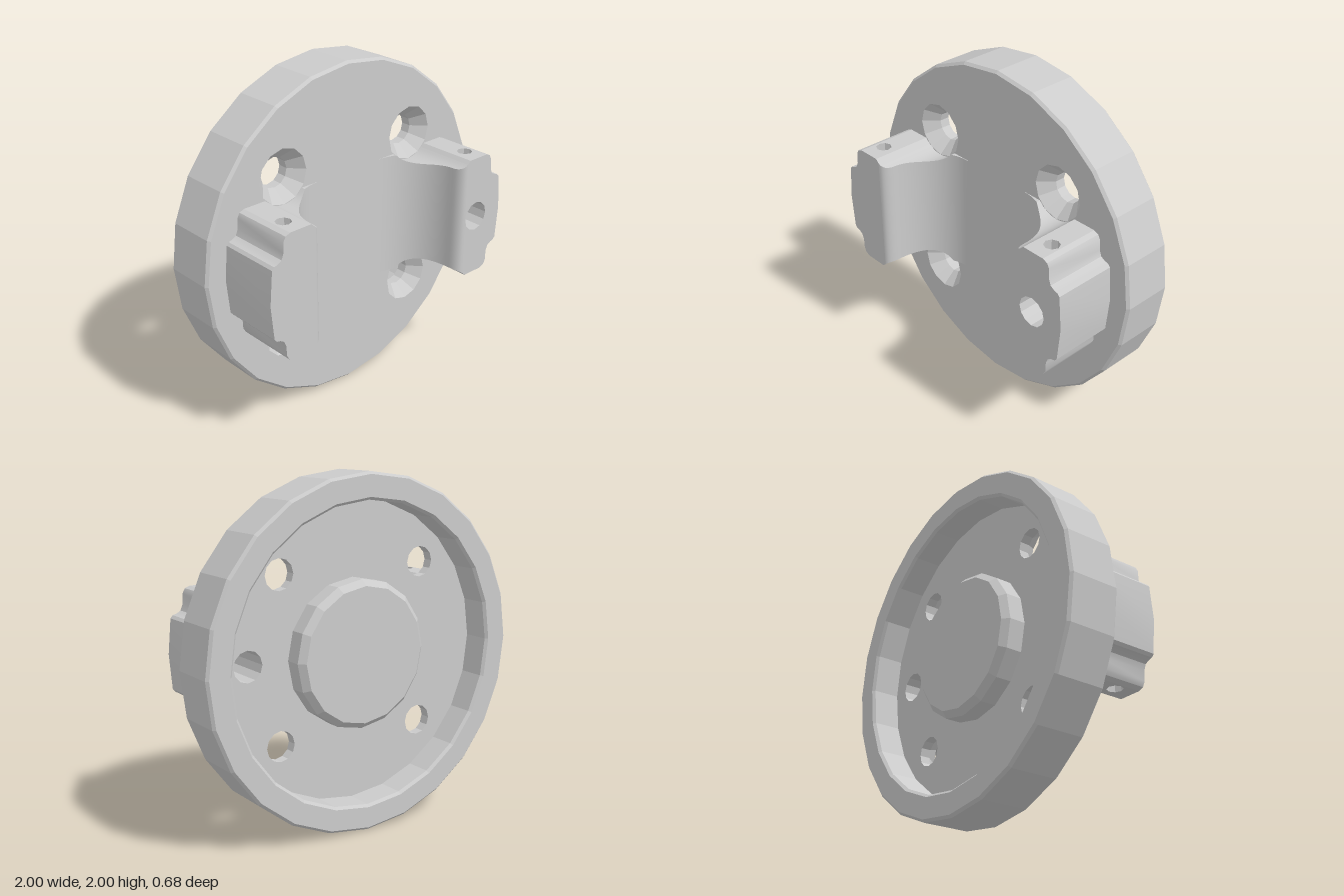
import * as THREE from 'three';
import { toCreasedNormals } from 'three/addons/utils/BufferGeometryUtils.js';

const FRONT = -0.03, FLOOR = -0.17, BACK = -0.34, TOP = 0.34; // z levels
const SCREW = 0.47, SINK_R = 0.16, HOLE_R = 0.088, HOLE_X = 0.667;
const PIN = { x: 0.68, z: 0.22, r: 0.045 };
const LUG_H = 0.37, SPLIT = 0.577;

const material = new THREE.MeshStandardMaterial({ color: 0xcccccc });
const flat = new THREE.MeshStandardMaterial({ color: 0xcccccc, flatShading: true });

function add(parent, name, geometry, mat = flat) {
  const mesh = new THREE.Mesh(geometry, mat);
  mesh.name = name;
  parent.add(mesh);
  return mesh;
}

const vec = ([x, y]) => new THREE.Vector2(x, y);

function ring(cx, cy, r, n) {
  return Array.from({ length: n }, (_, i) => {
    const a = (i / n) * Math.PI * 2;
    return [cx + r * Math.cos(a), cy + r * Math.sin(a)];
  });
}

// Flat face with polygonal holes, facing +z
function face(outline, holes = []) {
  const shape = new THREE.Shape(outline.map(vec));
  shape.holes = holes.map((h) => new THREE.Path(h.map(vec)));
  return new THREE.ShapeGeometry(shape);
}

// Profile of [radius, z] turned around the z axis
const turned = (profile, n) => new THREE.LatheGeometry(profile.map(vec), n).rotateX(Math.PI / 2);

// Smooth-edged surface from a list of four-cornered faces
function quads(list) {
  const pos = [];
  for (const [a, b, c, d] of list) pos.push(...a, ...b, ...c, ...a, ...c, ...d);
  const g = new THREE.BufferGeometry();
  g.setAttribute('position', new THREE.Float32BufferAttribute(pos, 3));
  return toCreasedNormals(g, 0.55);
}

// Half height of the lug at x, scooped out around the screw countersinks
function halfHeight(x) {
  const d = SINK_R ** 2 - (x - SCREW) ** 2;
  return d > 0 ? Math.min(LUG_H, SCREW - Math.sqrt(d)) : LUG_H;
}

function createLug(name, drilled) {
  const lug = new THREE.Group();
  lug.name = name;

  // Inner side: concave fillet rising from the plate, then a rounded top corner
  const cols = [];
  for (let i = 0; i <= 16; i++) {
    const a = (i / 16) * Math.PI / 2;
    cols.push([0.23 + 0.3 * Math.sin(a), 0.272 - 0.3 * Math.cos(a)]);
  }
  for (let i = 1; i <= 6; i++) {
    const a = (i / 6) * Math.PI / 2;
    cols.push([SPLIT - 0.047 * Math.cos(a), 0.272 + (TOP - 0.272) * Math.sin(a)]);
  }
  const fillet = [];
  for (let i = 0; i < cols.length - 1; i++) {
    const [x0, z0] = cols[i], [x1, z1] = cols[i + 1];
    const h0 = halfHeight(x0), h1 = halfHeight(x1);
    fillet.push(
      [[x0, -h0, z0], [x1, -h1, z1], [x1, h1, z1], [x0, h0, z0]],
      [[x0, h0, FRONT], [x0, h0, z0], [x1, h1, z1], [x1, h1, FRONT]],
      [[x1, -h1, FRONT], [x1, -h1, z1], [x0, -h0, z0], [x0, -h0, FRONT]]);
  }
  add(lug, 'lugFillet', quads(fillet), material);

  // Outer block with stepped, rounded corners
  const upper = [[SPLIT, halfHeight(SPLIT)], [0.598, LUG_H], [0.735, LUG_H], [0.765, 0.358],
    [0.78, 0.33], [0.782, 0.27], [0.795, 0.237], [0.82, 0.222], [0.843, 0.216], [0.857, 0.2], [0.875, 0]];
  const outline = [...upper.map(([x, y]) => [x, -y]), ...upper.slice(0, -1).reverse()];
  const walls = [];
  for (let i = 0; i < outline.length - 1; i++) {
    const a = outline[i], b = outline[i + 1];
    if (Math.abs(a[1]) === LUG_H && Math.abs(b[1]) === LUG_H) continue; // drilled panels go here
    walls.push([[...a, FRONT], [...b, FRONT], [...b, TOP], [...a, TOP]]);
  }
  add(lug, 'lugWalls', quads(walls), material);
  const bore = drilled ? [ring(HOLE_X, 0, HOLE_R, 12)] : [];
  add(lug, 'lugFrontFace', face(outline, bore).translate(0, 0, TOP));

  // Upper and lower panels, each with a blind pin hole
  for (const s of [1, -1]) {
    const z = (v) => -s * v;
    const rect = [[0.598, z(FRONT)], [0.735, z(FRONT)], [0.735, z(TOP)], [0.598, z(TOP)]];
    const panel = face(rect, [ring(PIN.x, z(PIN.z), PIN.r, 8)]);
    add(lug, 'lugPanel', panel.rotateX(-s * Math.PI / 2).translate(0, s * LUG_H, 0));
    const pin = new THREE.LatheGeometry([[PIN.r, LUG_H], [PIN.r, 0.22], [0, 0.195]].map(vec), 8);
    if (s < 0) pin.rotateX(Math.PI);
    add(lug, 'pinHole', pin.translate(PIN.x, 0, PIN.z));
  }
  return lug;
}

export function createModel() {
  const model = new THREE.Group();
  model.name = 'roundMountingFlange';
  const body = new THREE.Group();
  body.name = 'flangeBody';
  body.position.y = 1;
  model.add(body);

  // Chamfered rim with the recess wall behind
  add(body, 'rim', turned([[0.85, FLOOR], [0.85, -0.325], [0.865, BACK], [0.985, BACK],
    [1, -0.325], [1, -0.045], [0.985, FRONT]], 24));

  // Front and recess faces of the plate
  const screws = [[1, 1], [-1, 1], [-1, -1], [1, -1]].map(([sx, sy]) => [sx * SCREW, sy * SCREW]);
  const bore = ring(HOLE_X, 0, HOLE_R, 12);
  add(body, 'plateFront', face(ring(0, 0, 0.985, 24),
    [...screws.map(([x, y]) => ring(x, y, SINK_R, 12)), bore]).translate(0, 0, FRONT));
  add(body, 'recessFloor', face(ring(0, 0, 0.85, 24),
    [...screws.map(([x, y]) => ring(x, y, HOLE_R, 12)), ring(-HOLE_X, 0, HOLE_R, 12)])
    .rotateY(Math.PI).translate(0, 0, FLOOR));

  // Chamfered boss in the recess
  add(body, 'backBoss', turned([[0, -0.3], [0.385, -0.3], [0.42, -0.265], [0.42, FLOOR]], 16));

  // Countersunk screw holes and the bore through one lug
  for (const [x, y] of screws) {
    add(body, 'countersunkHole',
      turned([[SINK_R, FRONT], [HOLE_R, -0.11], [HOLE_R, FLOOR]], 12).translate(x, y, 0));
  }
  add(body, 'throughBore', turned([[HOLE_R, TOP], [HOLE_R, FLOOR]], 12).translate(HOLE_X, 0, 0));

  // Lugs: the second is the first turned half way round
  body.add(createLug('leftLug', true));
  const right = createLug('rightLug', false);
  right.rotation.z = Math.PI;
  body.add(right);
  return model;
}
